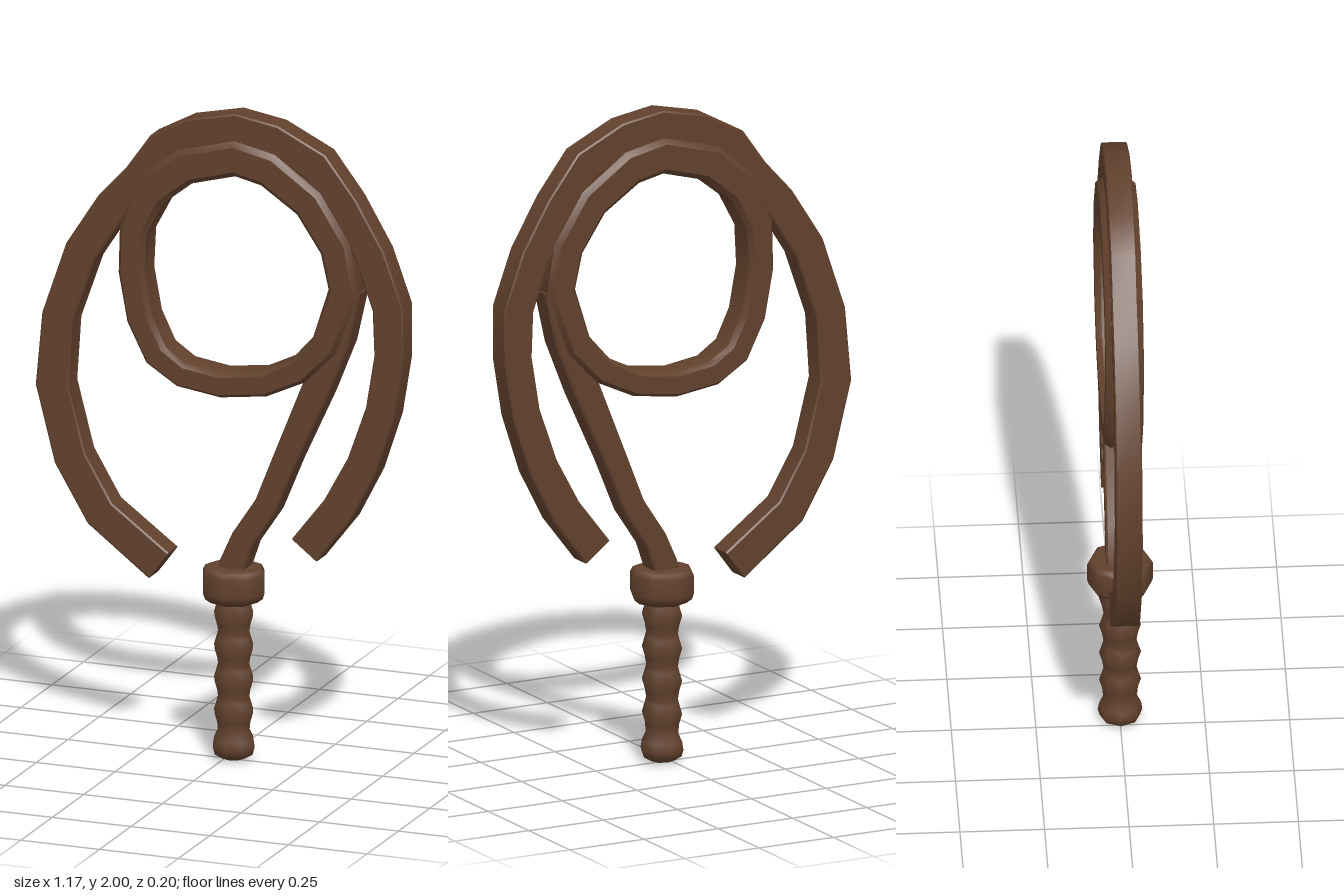
import * as THREE from 'three';
import { toCreasedNormals } from 'three/addons/utils/BufferGeometryUtils.js';

const leather = new THREE.MeshStandardMaterial({ color: 0x62412d });
leather.name = 'brown leather';

// Sweeps a bevelled rectangle along a flat path of [x, y, halfWidth] points.
function strand(name, path, halfDepth, bevel, closed = false) {
  const curve = new THREE.CatmullRomCurve3(
    path.map(([x, y]) => new THREE.Vector3(x, y, 0)), closed, 'centripetal');
  const count = path.length;
  const spans = closed ? count : count - 1;
  const k = 1 - bevel;
  const outline = [[1, -k], [1, k], [k, 1], [-k, 1], [-1, k], [-1, -k], [-k, -1], [k, -1]];
  const sides = outline.length;
  const positions = [];
  const index = [];

  for (let i = 0; i < count; i++) {
    const c = curve.getPoint(i / spans);
    const t = curve.getTangent(i / spans);
    for (const [a, b] of outline) {
      const w = a * path[i][2];
      positions.push(c.x - t.y * w, c.y + t.x * w, b * halfDepth - 0.003);
    }
  }
  for (let i = 0; i < spans; i++) {
    for (let j = 0; j < sides; j++) {
      const next = ((i + 1) % count) * sides;
      const j2 = (j + 1) % sides;
      const a = i * sides + j, b = i * sides + j2;
      index.push(a, b, next + j2, a, next + j2, next + j);
    }
  }
  // flat cut ends
  if (!closed) {
    const last = (count - 1) * sides;
    for (let j = 1; j < sides - 1; j++) {
      index.push(0, j + 1, j, last, last + j, last + j + 1);
    }
  }
  const geometry = new THREE.BufferGeometry();
  geometry.setAttribute('position', new THREE.Float32BufferAttribute(positions, 3));
  geometry.setIndex(index);
  return part(name, toCreasedNormals(geometry, 0.6));
}

function part(name, geometry) {
  const mesh = new THREE.Mesh(geometry, leather);
  mesh.name = name;
  return mesh;
}

// Eight-sided turned part from [radius, y] points.
function turned(name, profile) {
  const points = profile.map(([r, y]) => new THREE.Vector2(r, y));
  const mesh = part(name, new THREE.LatheGeometry(points, 8));
  mesh.position.x = 0.027;
  return mesh;
}

export function createModel() {
  const whip = new THREE.Group();
  whip.name = 'coiledWhip';

  // grip with rounded pommel and wrapped ridges
  const grip = [[0, 0], [0.035, 0.005], [0.06, 0.02], [0.066, 0.04], [0.062, 0.065], [0.05, 0.09]];
  for (let i = 0; i < 4; i++) {
    const y = 0.1 * i + 0.1;
    grip.push([0.053, y + 0.02], [0.062, y + 0.05], [0.053, y + 0.08], [0.049, y + 0.095]);
  }
  whip.add(turned('grip', grip));

  // thick collar above the grip
  whip.add(turned('collar', [
    [0, 0.49], [0.075, 0.49], [0.092, 0.503], [0.098, 0.52],
    [0.098, 0.575], [0.09, 0.59], [0.075, 0.597], [0, 0.597],
  ]));

  // lash rising from the collar to the coil
  whip.add(strand('lashStem', [
    [0.025, 0.56, 0.04], [0.035, 0.61, 0.04], [0.067, 0.69, 0.036], [0.14, 0.80, 0.036],
    [0.205, 0.96, 0.037], [0.3, 1.18, 0.043], [0.362, 1.34, 0.045], [0.398, 1.5, 0.045],
  ], 0.039, 0.15));

  // inner closed coil
  whip.add(strand('innerCoil', [
    [0.39, 1.49, 0.047], [0.365, 1.62, 0.05], [0.28, 1.75, 0.052], [0.15, 1.84, 0.054],
    [0.045, 1.863, 0.054], [-0.115, 1.82, 0.054], [-0.225, 1.73, 0.052], [-0.278, 1.61, 0.043],
    [-0.283, 1.475, 0.041], [-0.257, 1.335, 0.041], [-0.205, 1.23, 0.041], [-0.125, 1.178, 0.039],
    [0, 1.16, 0.038], [0.135, 1.178, 0.038], [0.245, 1.23, 0.039], [0.33, 1.32, 0.042],
  ], 0.056, 0.3, true));

  // outer open loop
  whip.add(strand('outerLoop', [
    [-0.198, 0.58, 0.053], [-0.385, 0.72, 0.052], [-0.48, 0.88, 0.052], [-0.537, 1.1, 0.052],
    [-0.52, 1.31, 0.049], [-0.447, 1.52, 0.05], [-0.35, 1.67, 0.05], [-0.26, 1.765, 0.052],
    [-0.19, 1.865, 0.052], [-0.09, 1.92, 0.05], [0.045, 1.95, 0.05], [0.165, 1.93, 0.05],
    [0.3, 1.865, 0.05], [0.39, 1.75, 0.047], [0.474, 1.605, 0.048], [0.53, 1.45, 0.049],
    [0.533, 1.3, 0.046], [0.505, 1.13, 0.046], [0.447, 0.96, 0.048], [0.37, 0.815, 0.05],
    [0.265, 0.68, 0.05],
  ], 0.039, 0.1));

  return whip;
}
